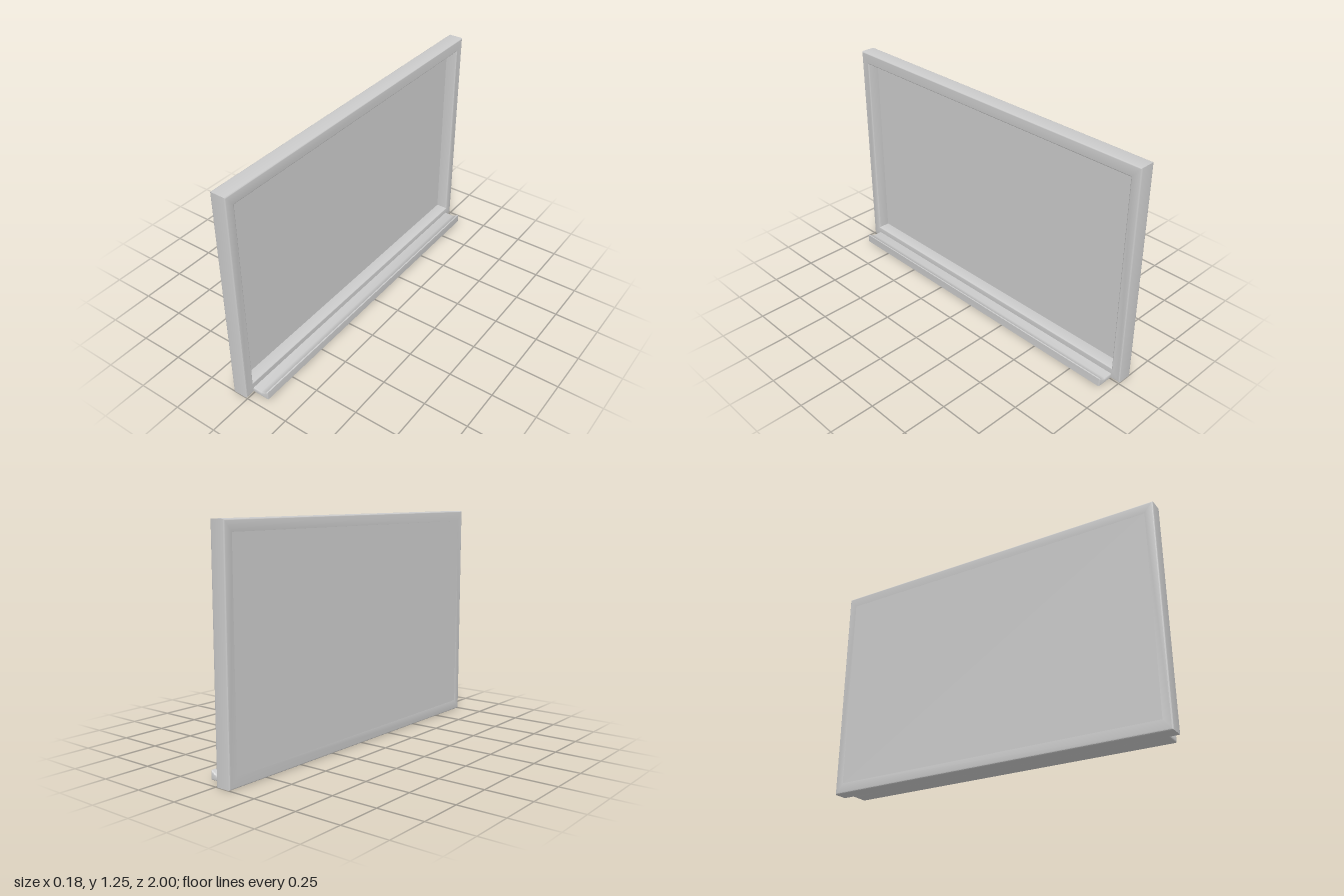
import * as THREE from 'three';
import { toCreasedNormals } from 'three/addons/utils/BufferGeometryUtils.js';

const material = new THREE.MeshStandardMaterial({ color: 0xcccccc });
const BEVEL = 0.007;

// Closed rectangle as a path or shape
function rectangle(path, x0, y0, x1, y1) {
  path.moveTo(x0, y0);
  path.lineTo(x1, y0);
  path.lineTo(x1, y1);
  path.lineTo(x0, y1);
  path.closePath();
  return path;
}

// Extrusion with rounded edges, whose total depth and outline include the bevel
function roundedExtrude(shape, depth) {
  const geometry = new THREE.ExtrudeGeometry(shape, {
    depth: depth - 2 * BEVEL,
    bevelEnabled: true,
    bevelThickness: BEVEL,
    bevelSize: BEVEL,
    bevelOffset: -BEVEL,
    bevelSegments: 3,
    curveSegments: 8,
  });
  geometry.translate(0, 0, BEVEL);
  return toCreasedNormals(geometry, 0.6);
}

function addMesh(group, name, geometry) {
  const mesh = new THREE.Mesh(geometry, material);
  mesh.name = name;
  group.add(mesh);
  return mesh;
}

export function createModel() {
  const group = new THREE.Group();
  group.name = 'wallBoard';

  // Frame: rounded border around a recessed opening, facing +x
  const border = rectangle(new THREE.Shape(), -1, 0, 1, 1.245);
  border.holes.push(rectangle(new THREE.Path(), -0.945, 0.065, 0.945, 1.18));
  const frame = addMesh(group, 'frame', roundedExtrude(border, 0.088));
  frame.rotation.y = Math.PI / 2;
  frame.position.x = -0.093;

  // Board: flat writing surface set back in the frame, closing the rear
  const board = addMesh(group, 'board', new THREE.BoxGeometry(0.0219, 1.15, 1.93));
  board.position.set(-0.0819, 0.6225, 0);

  // Tray: shallow ledge with an upturned lip
  const profile = new THREE.Shape();
  profile.moveTo(-0.012, 0.002);
  profile.lineTo(0.091, 0.002);
  profile.lineTo(0.091, 0.05);
  profile.lineTo(0.083, 0.05);
  profile.quadraticCurveTo(0.06, 0.03, 0.045, 0.03);
  profile.lineTo(-0.012, 0.03);
  profile.closePath();
  const tray = addMesh(group, 'tray', roundedExtrude(profile, 1.894));
  tray.position.z = -0.947;

  return group;
}
